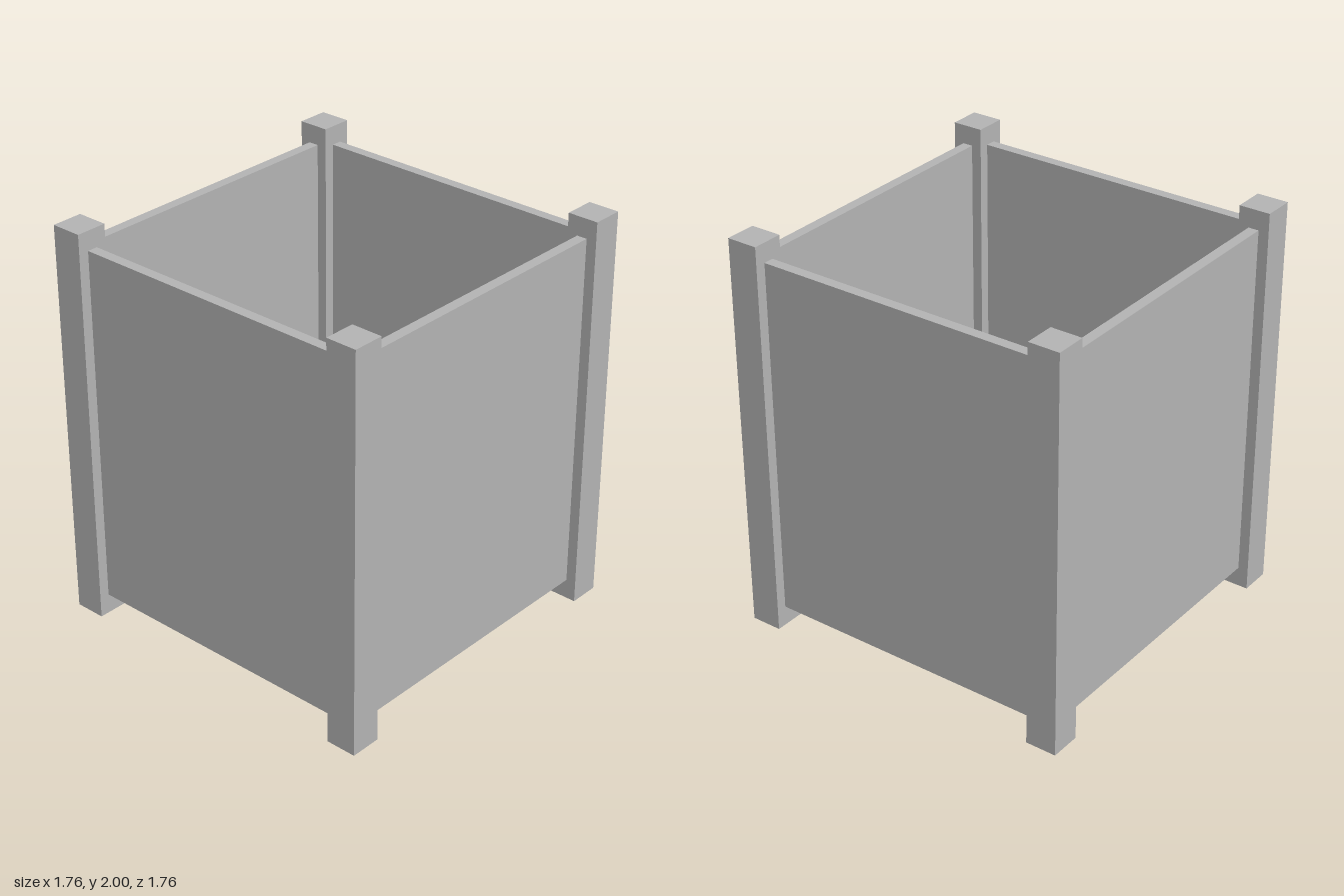
import * as THREE from 'three';

const POST = 0.156;          // post side length
const CENTRE = 0.802;        // distance of posts and panels from the axis
const PANEL = { bottom: 0.1, top: 1.905, thickness: 0.052 };

export function createModel() {
  const model = new THREE.Group();
  model.name = 'planterBox';
  const grey = new THREE.MeshStandardMaterial({ color: 0xb2b2b2 });
  grey.name = 'plain grey';

  const postGeometry = new THREE.BoxGeometry(POST, 2, POST);
  const panelHeight = PANEL.top - PANEL.bottom;
  const panelGeometry = new THREE.BoxGeometry(2 * CENTRE - POST, panelHeight, PANEL.thickness);

  // Four corner posts
  for (const x of [-1, 1]) {
    for (const z of [-1, 1]) {
      const post = new THREE.Mesh(postGeometry, grey);
      post.name = `${z > 0 ? 'front' : 'back'}${x > 0 ? 'Left' : 'Right'}Post`;
      post.position.set(x * CENTRE, 1, z * CENTRE);
      model.add(post);
    }
  }

  // Four wall panels between the posts, open at top and bottom
  ['front', 'left', 'back', 'right'].forEach((side, i) => {
    const angle = (i * Math.PI) / 2;
    const panel = new THREE.Mesh(panelGeometry, grey);
    panel.name = `${side}Panel`;
    panel.rotation.y = angle;
    panel.position.set(Math.sin(angle) * CENTRE, PANEL.bottom + panelHeight / 2, Math.cos(angle) * CENTRE);
    model.add(panel);
  });

  return model;
}
